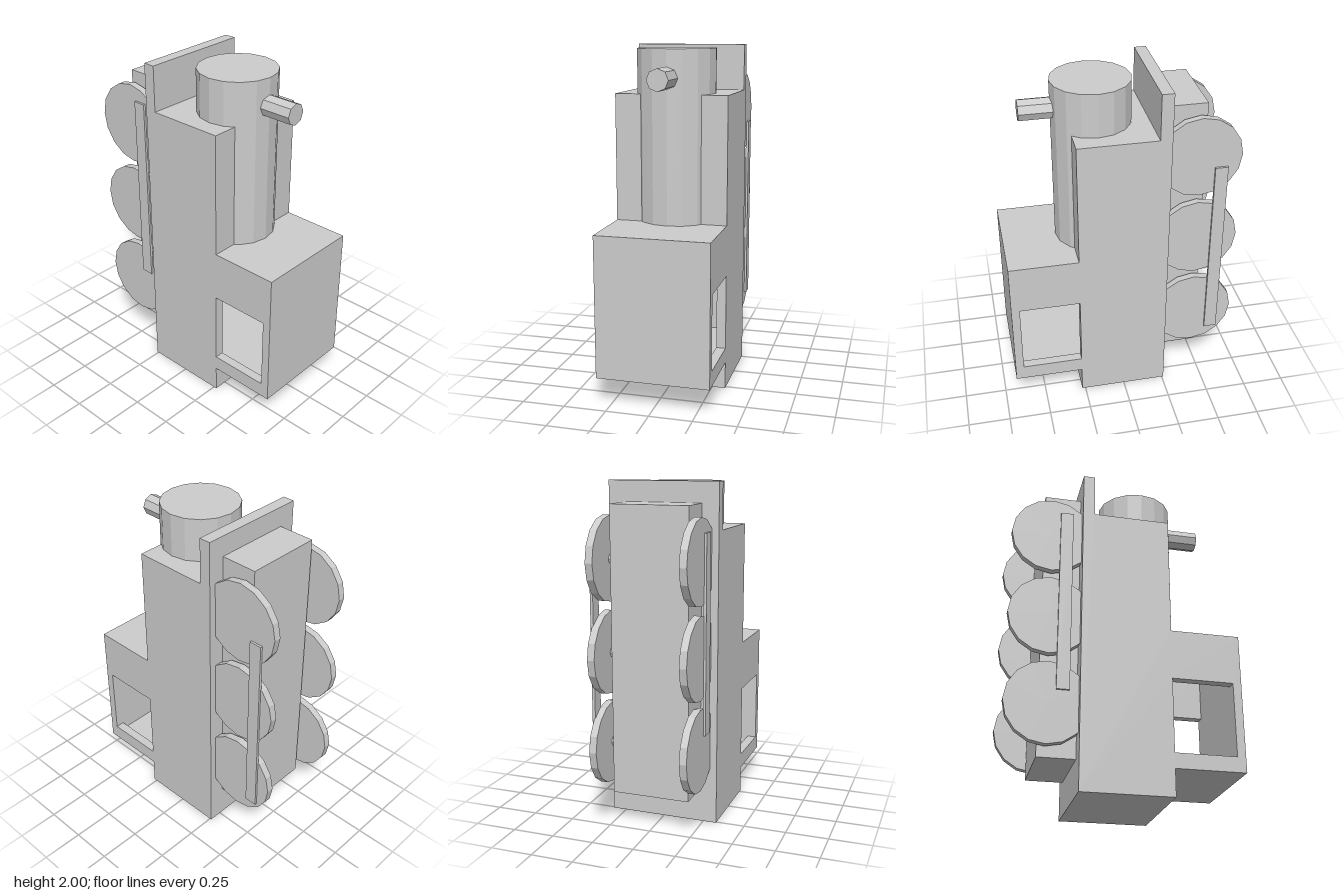
import * as THREE from 'three';

export function createModel() {
  const group = new THREE.Group();
  const material = new THREE.MeshStandardMaterial({ color: 0xcccccc, flatShading: true });

  const add = (name, geometry, x = 0, y = 0, z = 0) => {
    const mesh = new THREE.Mesh(geometry, material);
    mesh.name = name;
    mesh.position.set(x, y, z);
    group.add(mesh);
    return mesh;
  };

  // Box given by its limits on each axis
  const addBox = (name, [x0, x1], [y0, y1], [z0, z1]) =>
    add(name, new THREE.BoxGeometry(x1 - x0, y1 - y0, z1 - z0),
      (x0 + x1) / 2, (y0 + y1) / 2, (z0 + z1) / 2);

  // Side outline in (z, y): body, cab and end plate, with one rectangular hole
  const outline = [
    [-0.26, 0], [0.27, 0], [0.27, 0.16], [0.68, 0.16], [0.68, 0.99],
    [0.27, 0.99], [0.27, 1.73], [-0.19, 1.73], [-0.19, 2], [-0.26, 2],
  ];
  const addSlab = (name, x0, x1, [z0, z1], [y0, y1]) => {
    const toPoints = (list) => list.map(([z, y]) => new THREE.Vector2(z, y));
    const shape = new THREE.Shape(toPoints(outline));
    shape.holes.push(new THREE.Path(toPoints([[z0, y0], [z0, y1], [z1, y1], [z1, y0]])));
    const geometry = new THREE.ExtrudeGeometry(shape, { depth: x1 - x0, bevelEnabled: false });
    add(name, geometry.rotateY(-Math.PI / 2), x1);
  };

  // Hollow cab interior between two side walls with windows
  addSlab('bodyCore', -0.275, 0.275, [-0.2, 0.63], [0.2, 0.94]);
  addSlab('leftWall', 0.275, 0.33, [0.27, 0.63], [0.25, 0.69]);
  addSlab('rightWall', -0.33, -0.275, [0.27, 0.63], [0.25, 0.69]);

  // Boiler and chimney
  add('boiler', new THREE.CylinderGeometry(0.23, 0.23, 1.035, 16), 0, 1.4675, 0.13);
  add('chimney', new THREE.CylinderGeometry(0.0625, 0.0625, 0.24, 8).rotateX(Math.PI / 2), 0, 1.825, 0.42);

  // Chassis block
  addBox('chassis', [-0.23, 0.23], [0.205, 1.88], [-0.48, -0.24]);

  // Three wheels on each side, with the axles joining them to the chassis
  for (const y of [0.505, 1.04, 1.575]) {
    for (const side of [1, -1]) {
      add('wheel', new THREE.CylinderGeometry(0.243, 0.243, 0.043, 16).rotateZ(Math.PI / 2),
        side * 0.2675, y, -0.437);
    }
    add('axle', new THREE.CylinderGeometry(0.03, 0.03, 0.53, 8).rotateZ(Math.PI / 2), 0, y, -0.437);
  }

  // Coupling rods, half a turn apart
  addBox('leftRod', [0.285, 0.302], [0.355, 1.505], [-0.598, -0.522]);
  addBox('rightRod', [-0.302, -0.285], [0.58, 1.73], [-0.39, -0.314]);

  return group;
}
